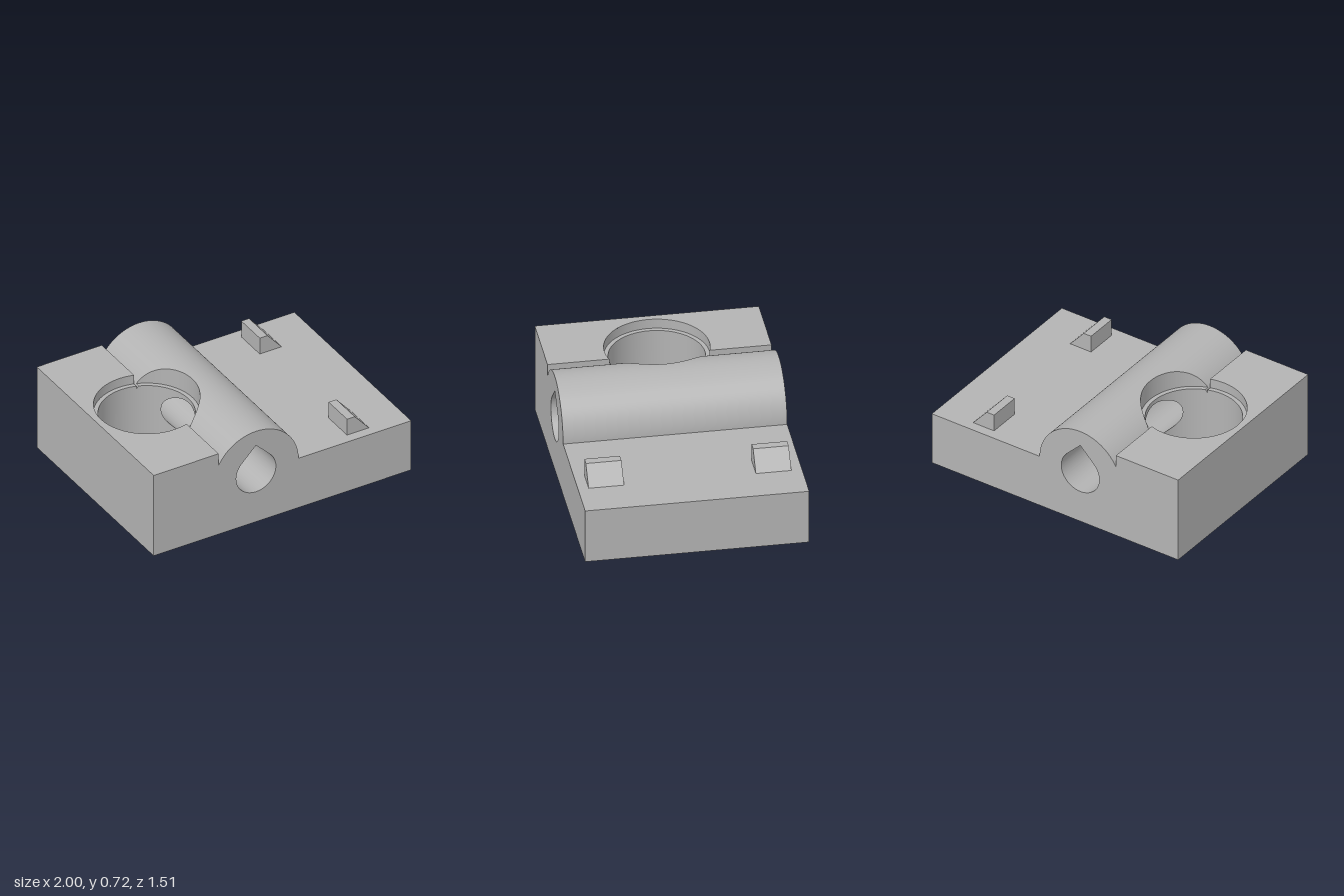
import * as THREE from 'three';
import { toCreasedNormals } from 'three/addons/utils/BufferGeometryUtils.js';

const DEPTH = 0.757;                       // half depth of the block
const FLOOR = 0.395, DECK = 0.645;         // heights of the low and high decks
const CX = -0.205, CY = 0.395;             // axis of the round ridge and its channel
const RIDGE = 0.33, CHANNEL = 0.154;
const BX = -0.6, BORE = 0.325, RIM = 0.355; // vertical bore and its counterbores
const STEP_LOW = 0.07, STEP_HIGH = 0.575;
const NOTCH = -0.495;                      // edge of the high deck beside the ridge

const ridgeY = x => CY + Math.sqrt(Math.max(0, RIDGE ** 2 - (x - CX) ** 2));
const X_STEP = CX - Math.sqrt(RIDGE ** 2 - (STEP_HIGH - CY) ** 2);
const X_CHANNEL = CX - CHANNEL;
const boreAngle = (x, r) => Math.acos((x - BX) / r);

// Collects quads and returns a geometry with sharp edges kept
function quadSet() {
  const pos = [];
  return {
    quad(a, b, c, d) { pos.push(...a, ...b, ...c, ...a, ...c, ...d); },
    build() {
      const g = new THREE.BufferGeometry();
      g.setAttribute('position', new THREE.Float32BufferAttribute(pos, 3));
      return toCreasedNormals(g, 0.5);
    },
  };
}

// Runs a closed [x, y, boreRadius] contour along z, leaving out the bore
function extrudeAroundBore(points) {
  const set = quadSet();
  const clip = ([x, , r]) => Math.sqrt(Math.max(0, r * r - (x - BX) ** 2));
  points.forEach((a, i) => {
    const b = points[(i + 1) % points.length];
    const ha = clip(a), hb = clip(b);
    const strip = (a1, a2, b1, b2) => set.quad(
      [a[0], a[1], a2], [a[0], a[1], a1], [b[0], b[1], b1], [b[0], b[1], b2]);
    strip(ha, DEPTH, hb, DEPTH);
    strip(-DEPTH, -ha, -DEPTH, -hb);
  });
  return set.build();
}

// Outline of the block seen from the front, counterclockwise
function blockContour() {
  const p = [[-1, 0, RIM]];
  const N = 64;
  for (let i = 0; i <= N; i++) p.push([BX - RIM * Math.cos(Math.PI * i / N), 0, RIM]);
  p.push([1, 0, RIM], [1, FLOOR, RIM]);
  for (let i = 0; i <= 40; i++) {
    const t = i / 40 * Math.acos((BX + RIM - CX) / RIDGE);
    p.push([CX + RIDGE * Math.cos(t), CY + RIDGE * Math.sin(t), RIM]);
  }
  for (let i = 1; i <= 40; i++) {
    const x = BX + RIM * Math.cos(i / 40 * boreAngle(X_STEP, RIM));
    p.push([x, ridgeY(x), RIM]);
  }
  p.push([X_STEP, STEP_HIGH, BORE], [NOTCH, ridgeY(NOTCH), BORE]);
  p.push([NOTCH, STEP_HIGH, BORE], [NOTCH, STEP_HIGH, RIM]);
  const start = boreAngle(NOTCH, RIM);
  for (let i = 0; i <= N; i++) {
    p.push([BX + RIM * Math.cos(start + (Math.PI - start) * i / N), DECK, RIM]);
  }
  p.push([-1, DECK, RIM]);
  return p;
}

// Teardrop outline, clockwise so that its walls face inward
function channelContour() {
  const p = [[CX, CY + CHANNEL * Math.SQRT2, BORE]];
  const N = 160, k = CHANNEL * Math.SQRT1_2;
  for (let i = 1; i < 20; i++) p.push([CX + k * i / 20, CY + 2 * k - k * i / 20, BORE]);
  for (let i = 0; i <= N; i++) {
    const t = Math.PI / 4 - 1.5 * Math.PI * i / N;
    p.push([CX + CHANNEL * Math.cos(t), CY + CHANNEL * Math.sin(t), BORE]);
  }
  for (let i = 19; i > 0; i--) p.push([CX - k * i / 20, CY + 2 * k - k * i / 20, BORE]);
  return p;
}

function channelRange(x) {
  const d = Math.abs(x - CX);
  const s = Math.sqrt(Math.max(0, CHANNEL ** 2 - d * d));
  return [CY - s, d < CHANNEL * Math.SQRT1_2 ? CY + CHANNEL * Math.SQRT2 - d : CY + s];
}

// Walls and ledges of the stepped bore
function boreGeometry() {
  const set = quadSet();
  const breaks = [X_CHANNEL, X_STEP, NOTCH];
  const at = (r, t, y) => [BX + r * Math.cos(t), y, r * Math.sin(t)];
  const sectorAngles = (r, s) => {
    const a = [0, ...breaks.map(x => boreAngle(x, r)), Math.PI];
    return [a[s], a[s + 1]];
  };
  for (let s = 0; s < 4; s++) {
    const top = x => (s === 3 ? DECK : ridgeY(x));
    const n = s === 2 ? 4 : 40;
    for (let i = 0; i < n; i++) for (const side of [1, -1]) {
      const pair = r => {
        const [a, b] = sectorAngles(r, s);
        const t = [a + (b - a) * i / n, a + (b - a) * (i + 1) / n];
        return side > 0 ? t : [-t[1], -t[0]];
      };
      const inner = pair(BORE), outer = pair(RIM);
      const wall = (r, t, low, high) => {
        const [x0, x1] = t.map(v => BX + r * Math.cos(v));
        set.quad(at(r, t[0], low(x0)), at(r, t[1], low(x1)),
          at(r, t[1], high(x1)), at(r, t[0], high(x0)));
      };
      // Lower counterbore and its ledge
      wall(RIM, outer, () => 0, () => STEP_LOW);
      set.quad(at(BORE, inner[0], STEP_LOW), at(RIM, outer[0], STEP_LOW),
        at(RIM, outer[1], STEP_LOW), at(BORE, inner[1], STEP_LOW));
      // Main wall, open where the channel crosses it
      const mainTop = x => Math.min(STEP_HIGH, top(x));
      if (s === 0) {
        wall(BORE, inner, () => STEP_LOW, x => channelRange(x)[0]);
        wall(BORE, inner, x => channelRange(x)[1], mainTop);
      } else wall(BORE, inner, () => STEP_LOW, mainTop);
      // Upper counterbore and its ledge, absent in the notch
      if (s !== 2) {
        wall(RIM, outer, () => STEP_HIGH, x => Math.max(STEP_HIGH, top(x)));
        set.quad(at(BORE, inner[0], STEP_HIGH), at(BORE, inner[1], STEP_HIGH),
          at(RIM, outer[1], STEP_HIGH), at(RIM, outer[0], STEP_HIGH));
      }
    }
  }
  return set.build();
}

export function createModel() {
  const model = new THREE.Group();
  model.name = 'bearingBlock';
  const grey = new THREE.MeshStandardMaterial({ color: 0xb3b3b3 });
  grey.name = 'plain grey';
  const add = (name, geometry) => {
    const mesh = new THREE.Mesh(geometry, grey);
    mesh.name = name;
    model.add(mesh);
    return mesh;
  };

  // Block shell, teardrop channel and bore
  const outline = blockContour(), teardrop = channelContour();
  add('blockShell', extrudeAroundBore(outline));
  add('rodChannel', extrudeAroundBore(teardrop));
  add('verticalBore', boreGeometry());

  // Flat end faces with the channel opening
  const vec = ([x, y]) => new THREE.Vector2(x, y);
  const distinct = pts => pts.map(vec).filter((v, i, a) => i === 0 || v.distanceTo(a[i - 1]) > 1e-6);
  const face = new THREE.Shape(distinct(outline));
  face.holes.push(new THREE.Path(distinct(teardrop)));
  add('frontFace', new THREE.ShapeGeometry(face).translate(0, 0, DEPTH));
  const back = new THREE.ShapeGeometry(face).translate(0, 0, -DEPTH);
  back.index.array.reverse();
  back.computeVertexNormals();
  add('backFace', back);

  // Two sloped stops on the low deck
  const stop = new THREE.Shape([[0.545, FLOOR], [0.715, FLOOR], [0.605, 0.522], [0.545, 0.522]].map(vec));
  for (const [name, z] of [['frontStop', 0.445], ['backStop', -0.685]]) {
    add(name, new THREE.ExtrudeGeometry(stop, { depth: 0.24, bevelEnabled: false })).position.z = z;
  }
  return model;
}
